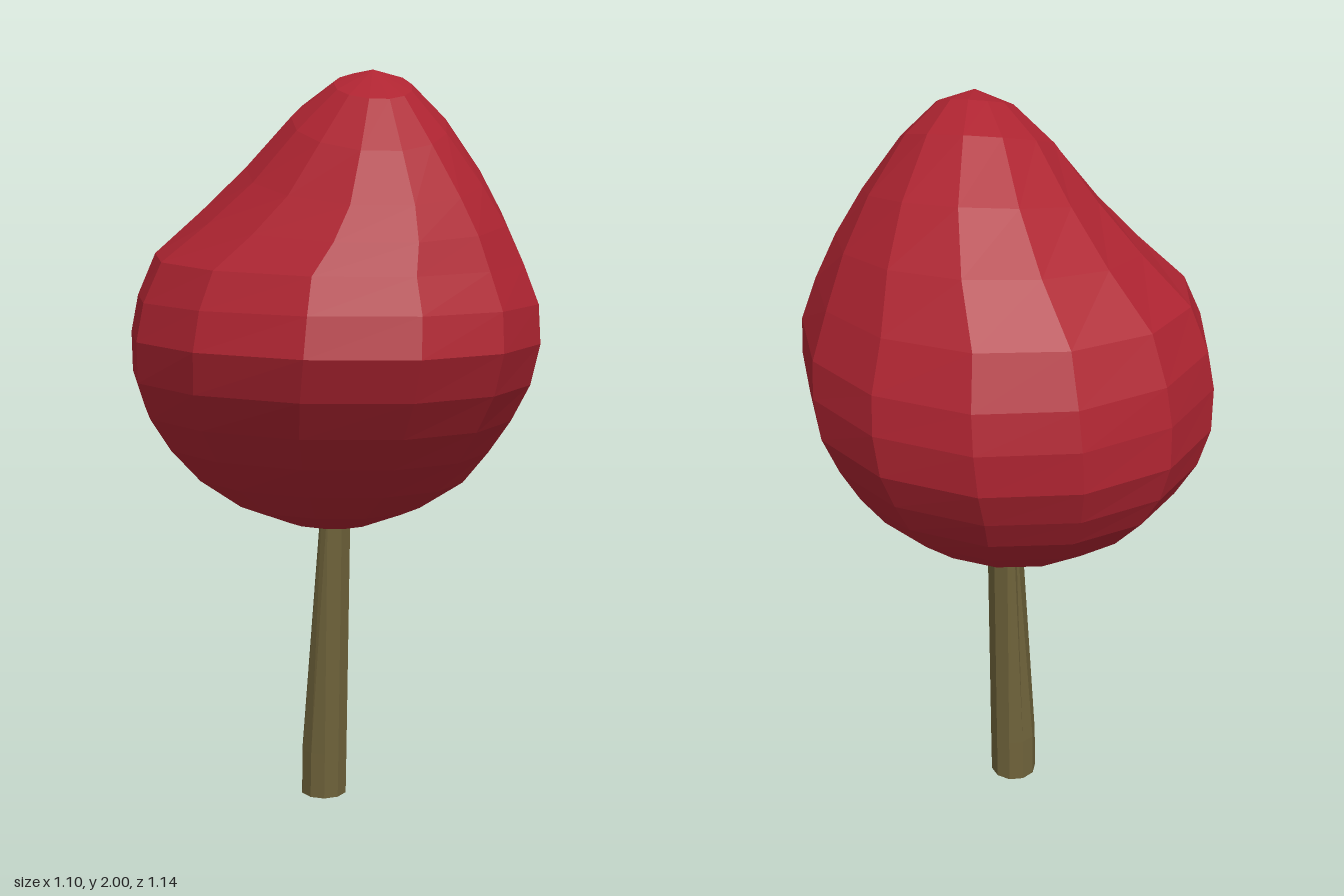
import * as THREE from 'three';

// Skin a stack of rings (top to bottom, each clockwise from above) and close both ends with fans.
function loft(rings, topPoint, bottomPoint) {
  const n = rings[0].length;
  const points = [topPoint, ...rings.flat(), bottomPoint];
  const index = [];
  const at = (i, j) => 1 + i * n + (j % n);
  const last = points.length - 1;
  for (let j = 0; j < n; j++) {
    index.push(0, at(0, j + 1), at(0, j));
    for (let i = 0; i < rings.length - 1; i++) {
      const a = at(i, j), b = at(i, j + 1), c = at(i + 1, j), d = at(i + 1, j + 1);
      index.push(a, b, d, a, d, c);
    }
    index.push(last, at(rings.length - 1, j), at(rings.length - 1, j + 1));
  }
  let geometry = new THREE.BufferGeometry().setFromPoints(points);
  geometry.setIndex(index);
  geometry = geometry.toNonIndexed();
  geometry.computeVertexNormals(); // unshared corners give flat facets
  return geometry;
}

// Irregular plan outline of the crown at its widest, as x, z
const OUTLINE = [
  [-0.02, -0.575], [0.24, -0.51], [0.44, -0.33], [0.55, -0.05], [0.53, 0.24], [0.41, 0.45],
  [0.2, 0.57], [-0.08, 0.56], [-0.35, 0.41], [-0.51, 0.185], [-0.55, -0.09], [-0.465, -0.335], [-0.27, -0.51],
];

// Crown sections: y, min x, max x, min z, max z, forward tilt
const CROWN = [
  [1.96, 0.0, 0.2, 0.0, 0.23, 0.33],
  [1.87, -0.11, 0.29, -0.13, 0.33, 0.33],
  [1.74, -0.23, 0.385, -0.28, 0.41, 0.22],
  [1.63, -0.35, 0.45, -0.4, 0.46, 0.12],
  [1.52, -0.48, 0.5, -0.495, 0.5, 0.04],
  [1.41, -0.53, 0.54, -0.55, 0.545, 0],
  [1.31, -0.55, 0.545, -0.57, 0.573, 0],
  [1.2, -0.55, 0.525, -0.565, 0.53, 0],
  [1.1, -0.52, 0.48, -0.52, 0.46, 0],
  [1.01, -0.465, 0.425, -0.465, 0.385, 0],
  [0.92, -0.385, 0.36, -0.38, 0.29, 0],
  [0.84, -0.27, 0.245, -0.28, 0.18, 0],
  [0.79, -0.13, 0.11, -0.15, 0.08, 0],
];

function crownGeometry() {
  const rings = CROWN.map(([y, x0, x1, z0, z1, tilt]) => OUTLINE.map(([x, z]) => {
    const dz = (z / 0.573) * (z1 - z0) / 2;
    return new THREE.Vector3((x0 + x1) / 2 + (x / 0.55) * (x1 - x0) / 2, y - tilt * dz, (z0 + z1) / 2 + dz);
  }));
  return loft(rings, new THREE.Vector3(0.1, 2, 0.1), new THREE.Vector3(-0.01, 0.777, -0.03));
}

// Trunk sections: y, centre x, centre z, radius, cut limit on the -x side
const TRUNK = [
  [0.86, -0.015, -0.017, 0.067, -0.03],
  [0.13, -0.023, -0.028, 0.065, -1],
  [0, -0.025, -0.03, 0.065, -1],
];

function trunkGeometry() {
  const sides = 10;
  const rings = TRUNK.map(([y, cx, cz, r, cut]) => Array.from({ length: sides }, (_, j) => {
    const a = (j / sides) * Math.PI * 2;
    return new THREE.Vector3(Math.max(cut, cx + Math.sin(a) * r), y, cz - Math.cos(a) * r);
  }));
  return loft(rings, new THREE.Vector3(0.005, 0.86, -0.017), new THREE.Vector3(-0.025, 0, -0.03));
}

export function createModel() {
  const foliage = new THREE.MeshStandardMaterial({ color: 0xae2431 });
  foliage.name = 'foliage red';
  const bark = new THREE.MeshStandardMaterial({ color: 0x6e623a });
  bark.name = 'bark brown';

  const group = new THREE.Group();
  group.name = 'tree';
  const crown = new THREE.Mesh(crownGeometry(), foliage);
  crown.name = 'crown';
  const trunk = new THREE.Mesh(trunkGeometry(), bark);
  trunk.name = 'trunk';
  group.add(crown, trunk);
  return group;
}
